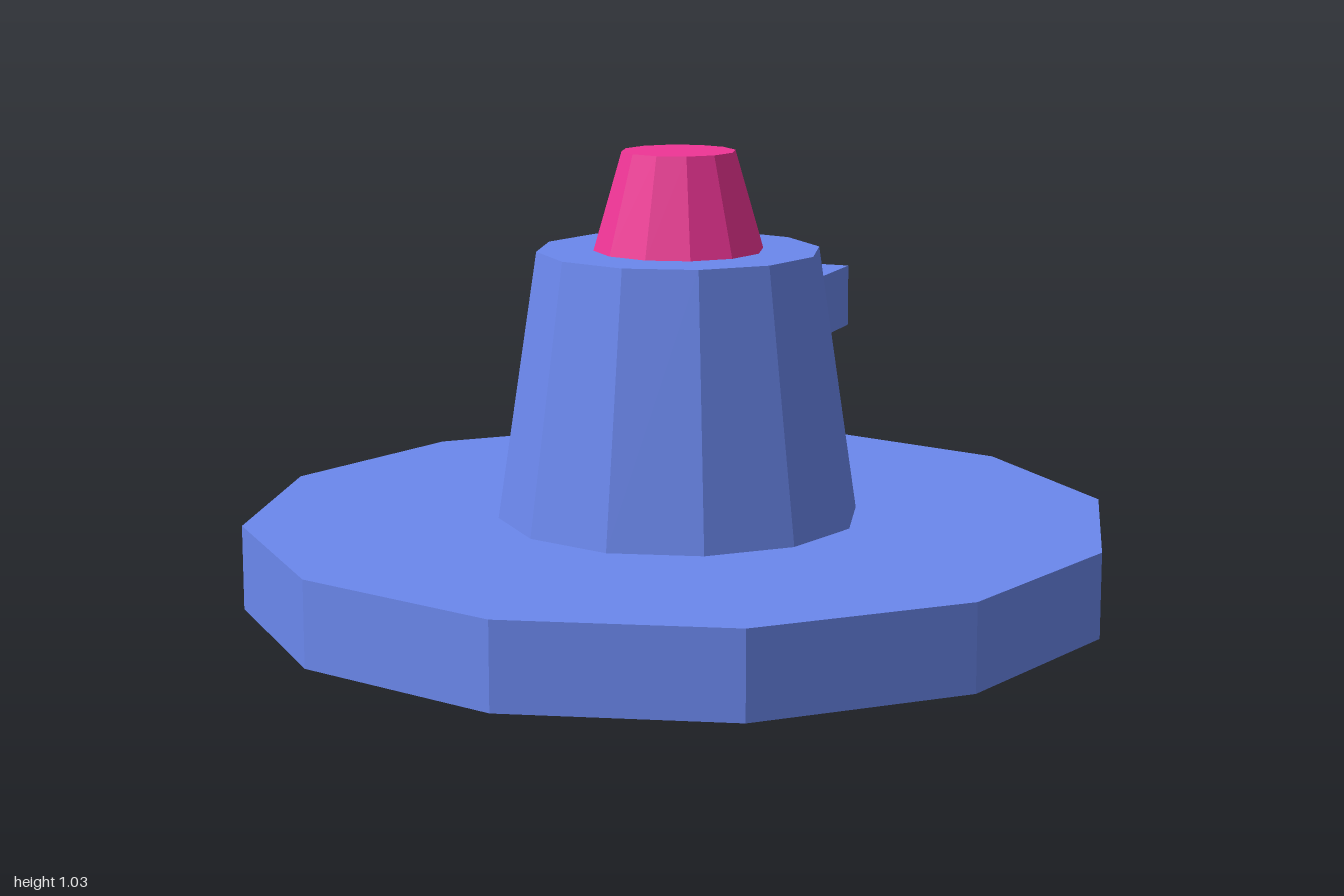
import * as THREE from 'three';

export function createModel() {
  const model = new THREE.Group();
  const blue = new THREE.MeshStandardMaterial({ color: 0x6b88ee, flatShading: true });
  const pink = new THREE.MeshStandardMaterial({ color: 0xf03596, flatShading: true });

  // Twelve-sided tapered drum standing between two heights
  function drum(name, bottomRadius, topRadius, y0, y1, material) {
    const geometry = new THREE.CylinderGeometry(topRadius, bottomRadius, y1 - y0, 12);
    const mesh = new THREE.Mesh(geometry, material);
    mesh.name = name;
    mesh.position.y = (y0 + y1) / 2;
    model.add(mesh);
  }

  drum('base', 1, 1, 0, 0.195, blue);
  drum('tower', 0.417, 0.325, 0.195, 0.81, blue);
  drum('topKnob', 0.195, 0.13, 0.81, 1.035, pink);

  // Square bar reaching out of the back of the tower
  const bar = new THREE.Mesh(new THREE.BoxGeometry(0.155, 0.155, 0.72), blue);
  bar.name = 'rearBar';
  bar.position.set(0, 0.567, -0.605);
  model.add(bar);

  return model;
}
